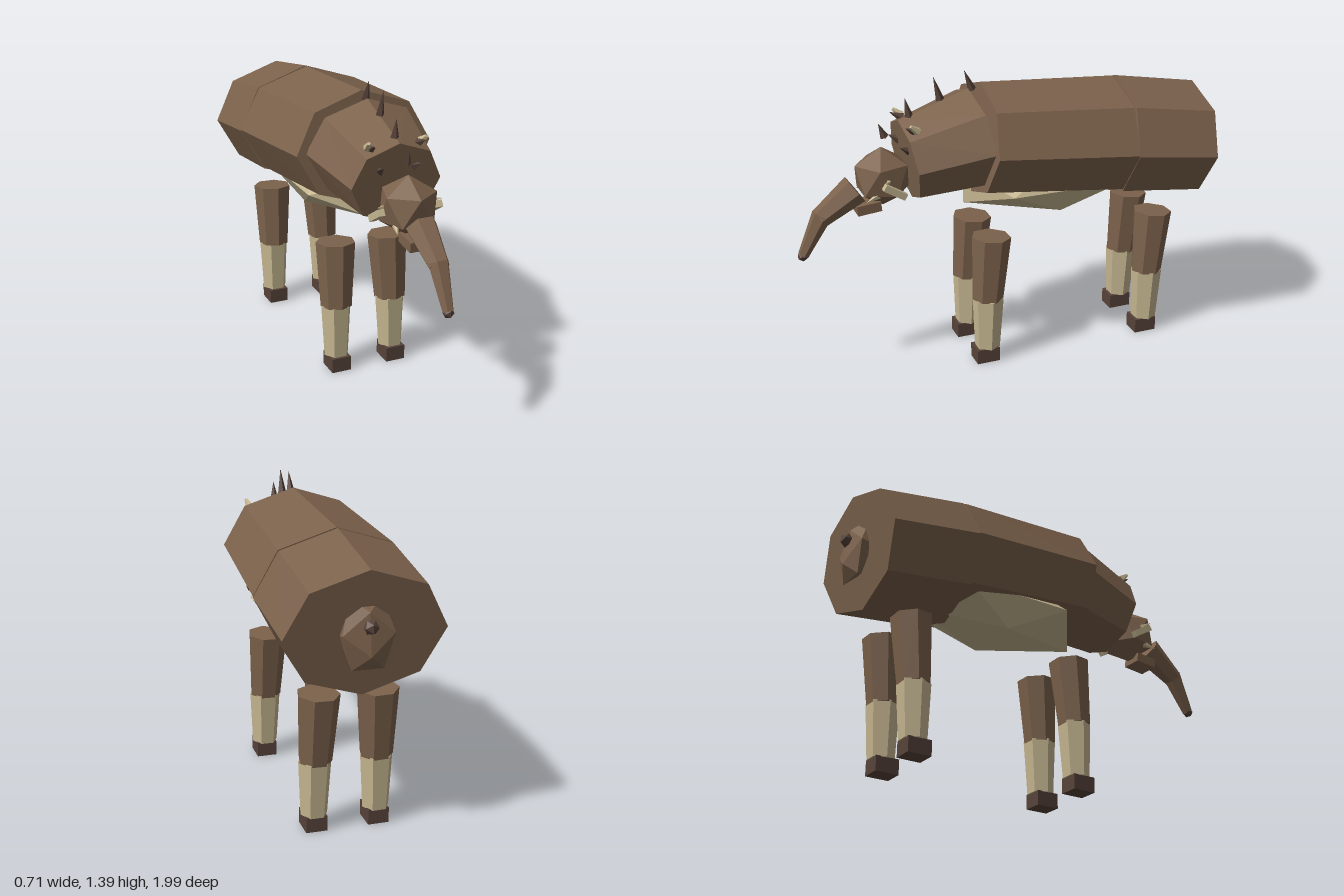
import * as THREE from 'three';

const mat = (name, color) => Object.assign(new THREE.MeshStandardMaterial({ color, flatShading: true }), { name });

export function createModel() {
  const model = new THREE.Group();
  model.name = 'tuskedBeast';
  const hide = mat('brown hide', 0x7c624c);
  const dark = mat('dark horn', 0x57433a);
  const tan = mat('pale tan', 0xc6b791);

  const add = (name, geometry, material, pos = [0, 0, 0], rot = [0, 0, 0], scale = [1, 1, 1]) => {
    const m = new THREE.Mesh(geometry, material);
    m.name = name;
    m.position.set(...pos);
    m.rotation.set(...rot);
    m.scale.set(...scale);
    model.add(m);
    return m;
  };

  // Tapered prism running from point a to point b
  const limb = (name, material, a, b, ra, rb, sides, spin = 0) => {
    const from = new THREE.Vector3(...a), to = new THREE.Vector3(...b);
    const dir = to.clone().sub(from);
    const g = new THREE.CylinderGeometry(rb, ra, dir.length(), sides);
    g.rotateY(spin);
    const m = add(name, g, material, from.clone().add(to).multiplyScalar(0.5).toArray());
    m.quaternion.setFromUnitVectors(new THREE.Vector3(0, 1, 0), dir.normalize());
    return m;
  };

  // Eight-sided body segment between two leaning rings; dz is the lean of the ring's top
  const segment = (name, front, back) => {
    const g = new THREE.CylinderGeometry(1, 1, 1, 8);
    const p = g.attributes.position;
    for (let i = 0; i < p.count; i++) {
      const r = p.getY(i) > 0 ? back : front, up = p.getZ(i);
      p.setXYZ(i, p.getX(i) * r.rx, r.y + up * r.ry, r.z + up * r.dz);
    }
    g.computeVertexNormals();
    add(name, g, hide);
  };

  // Body
  segment('shoulders',
    { rx: 0.21, ry: 0.185, y: 1.008, z: 0.49, dz: 0.027 },
    { rx: 0.28, ry: 0.228, y: 1.075, z: 0.155, dz: 0.034 });
  segment('barrel',
    { rx: 0.325, ry: 0.257, y: 1.069, z: 0.163, dz: -0.033 },
    { rx: 0.355, ry: 0.275, y: 1.008, z: -0.5, dz: -0.023 });
  segment('rump',
    { rx: 0.355, ry: 0.28, y: 1.003, z: -0.5, dz: -0.038 },
    { rx: 0.345, ry: 0.27, y: 0.942, z: -0.911, dz: -0.041 });
  add('belly', new THREE.IcosahedronGeometry(1), tan, [0, 0.84, -0.21], [0, 0, 0], [0.27, 0.155, 0.505]);

  // Tail
  add('tailBase', new THREE.IcosahedronGeometry(1), hide, [0, 0.945, -0.915], [0.15, 0, 0], [0.13, 0.17, 0.06]);
  add('tailTip', new THREE.IcosahedronGeometry(0.033), dark, [0, 0.985, -0.966]);

  // Head, jaw and trunk
  add('head', new THREE.IcosahedronGeometry(0.137), hide, [0, 0.945, 0.6], [-1.02, 0, 0]);
  add('jaw', new THREE.BoxGeometry(0.1, 0.045, 0.11), hide, [0, 0.815, 0.675], [0.1, 0, 0]);
  limb('upperTrunk', hide, [0, 0.9, 0.725], [0, 0.785, 0.89], 0.07, 0.046, 6, Math.PI / 6);
  limb('lowerTrunk', hide, [0, 0.8, 0.88], [0, 0.62, 0.975], 0.046, 0.025, 6, Math.PI / 6);
  add('trunkTip', new THREE.IcosahedronGeometry(0.025), dark, [0, 0.617, 0.977]);

  // Spikes along the shoulders
  [
    [[0, 1.295, 0.17], [0, 1.39, 0.207]],
    [[0, 1.265, 0.32], [0, 1.375, 0.35]],
    [[0, 1.205, 0.465], [0, 1.29, 0.482]],
    [[0, 1.125, 0.58], [0, 1.19, 0.607]],
  ].forEach(([a, b]) => limb('spike', dark, a, b, 0.02, 0, 4));

  for (const s of [-1, 1]) {
    // Face details
    limb('browHorn', dark, [s * 0.08, 1.075, 0.49], [s * 0.095, 1.1, 0.54], 0.022, 0, 4);
    limb('upperHorn', dark, [s * 0.11, 1.165, 0.465], [s * 0.12, 1.195, 0.52], 0.022, 0, 4);
    limb('upperHornTip', tan, [s * 0.125, 1.175, 0.465], [s * 0.135, 1.205, 0.5], 0.02, 0.008, 5);
    add('cheekTusk', new THREE.BoxGeometry(0.03, 0.03, 0.11), tan, [s * 0.135, 0.915, 0.58], [-0.55, 0, 0]);
    limb('cheekTuskTip', tan, [s * 0.11, 0.955, 0.6], [s * 0.155, 0.965, 0.625], 0.012, 0, 4);
    limb('mouthTusk', tan, [s * 0.075, 0.885, 0.64], [s * 0.095, 0.865, 0.7], 0.018, 0, 5);

    // Legs
    for (const [end, z] of [['front', 0.165], ['rear', -0.665]]) {
      limb(end + 'UpperLeg', hide, [s * 0.137, 0.317, z - 0.01], [s * 0.13, 0.628, z - 0.033], 0.074, 0.093, 7);
      limb(end + 'LowerLeg', tan, [s * 0.14, 0.068, z - 0.007], [s * 0.138, 0.322, z - 0.013], 0.06, 0.074, 6, Math.PI / 6);
      add(end + 'Foot', new THREE.BoxGeometry(0.094, 0.07, 0.11), dark, [s * 0.14, 0.035, z + 0.003]);
    }
  }
  return model;
}
